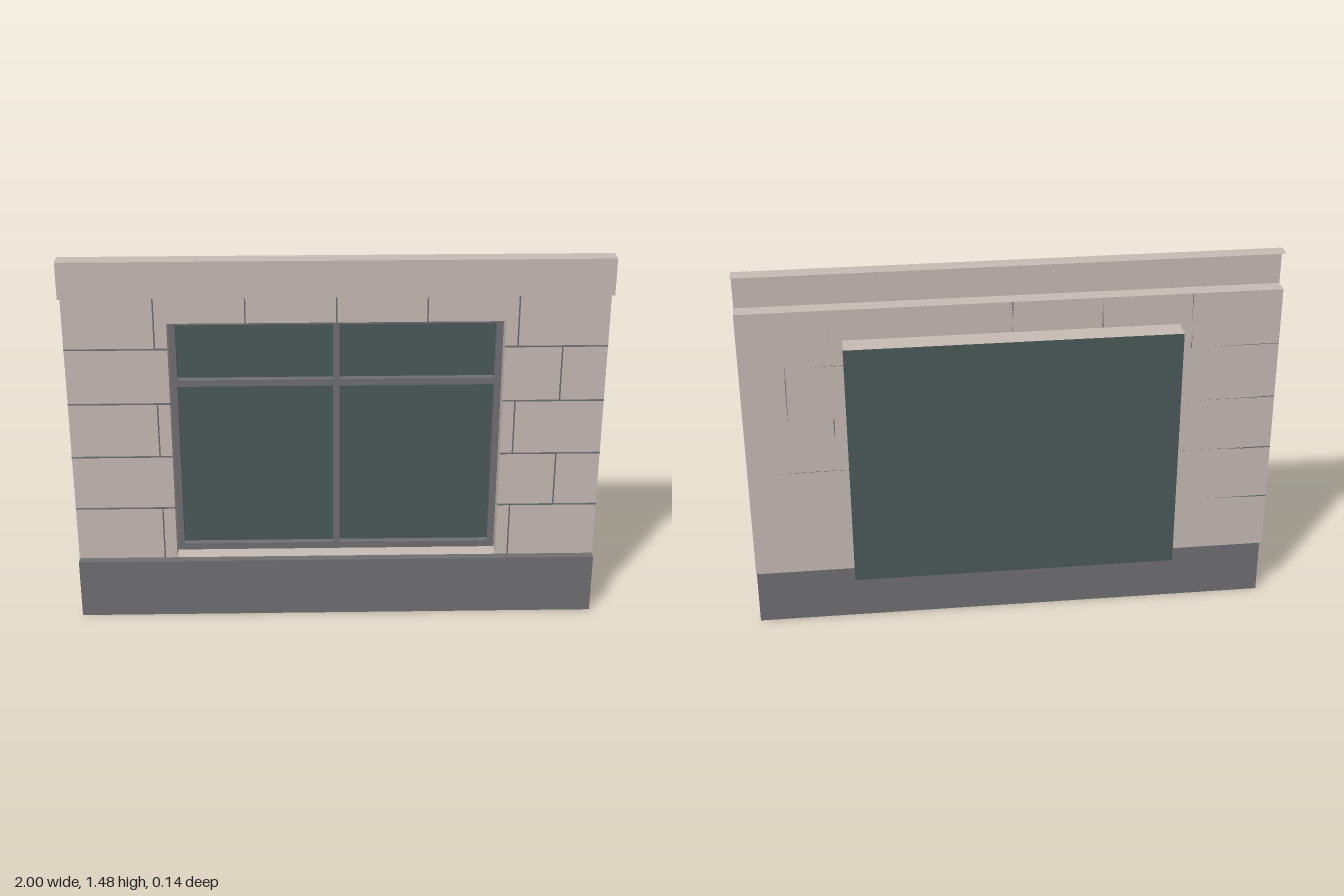
import * as THREE from 'three';

const WALL_Z = 0.013, BASE_Z = 0.045, FRONT_Z = 0.072, BACK_Z = -0.072;
const BASE_Y = 0.24, LINTEL_Y = 1.22, WALL_Y = 1.34, TOP_Y = 1.48;
const HALF = 0.62; // half width of the window opening

export function createModel() {
  const group = new THREE.Group();
  const material = (name, color) =>
    new THREE.MeshStandardMaterial({ name, color, side: THREE.DoubleSide });
  const stone = material('pale stone', 0xc8bcb6);
  const grey = material('dark grey', 0x707073);
  const glass = material('window glass', 0x4a5a59);

  const add = (name, geometry, mat) => {
    const mesh = new THREE.Mesh(geometry, mat);
    mesh.name = name;
    group.add(mesh);
    return mesh;
  };
  // Upright sheet facing +z
  const upright = (name, x0, x1, y0, y1, z, mat) =>
    add(name, new THREE.PlaneGeometry(x1 - x0, y1 - y0), mat)
      .position.set((x0 + x1) / 2, (y0 + y1) / 2, z);
  // Level sheet facing up (turn = -1) or down (turn = 1)
  const level = (name, half, y, z0, z1, mat, turn = -1) =>
    add(name, new THREE.PlaneGeometry(half * 2, z1 - z0).rotateX(turn * Math.PI / 2), mat)
      .position.set(0, y, (z0 + z1) / 2);
  const box = (name, x0, x1, y0, y1, z0, z1, mat) =>
    add(name, new THREE.BoxGeometry(x1 - x0, y1 - y0, z1 - z0), mat)
      .position.set((x0 + x1) / 2, (y0 + y1) / 2, (z0 + z1) / 2);

  // Wall sheet around the opening
  const outline = [[-1, BASE_Y], [-HALF, BASE_Y], [-HALF, LINTEL_Y], [HALF, LINTEL_Y],
    [HALF, BASE_Y], [1, BASE_Y], [1, WALL_Y], [-1, WALL_Y]];
  const wallShape = new THREE.Shape(outline.map(([x, y]) => new THREE.Vector2(x, y)));
  add('wall', new THREE.ShapeGeometry(wallShape), stone).position.z = WALL_Z;

  // Cornice channel, open at the back
  upright('corniceFront', -1, 1, WALL_Y, TOP_Y, FRONT_Z, stone);
  level('corniceTop', 1, TOP_Y, WALL_Z, FRONT_Z, stone);
  level('corniceUnderside', 1, WALL_Y, WALL_Z, FRONT_Z, stone, 1);

  // Plinth
  upright('plinthFront', -1, 1, 0, BASE_Y, BASE_Z, grey);
  level('plinthTop', 1, BASE_Y, WALL_Z, BASE_Z, grey);

  // Window reveal
  level('sill', HALF, BASE_Y, BACK_Z, WALL_Z, stone);
  level('lintel', HALF, LINTEL_Y, BACK_Z, WALL_Z, stone, 1);
  for (const side of [-1, 1]) {
    const jamb = new THREE.PlaneGeometry(WALL_Z - BACK_Z, LINTEL_Y - BASE_Y);
    add('jamb', jamb.rotateY(-side * Math.PI / 2), stone)
      .position.set(side * HALF, (BASE_Y + LINTEL_Y) / 2, (WALL_Z + BACK_Z) / 2);
  }

  // Glass and its frame
  upright('glass', -HALF, HALF, BASE_Y, LINTEL_Y, BACK_Z, glass);
  const z0 = BACK_Z + 0.001, z1 = -0.045, e = 0.001, inner = 0.594;
  box('frameLeft', inner, HALF - e, BASE_Y + e, LINTEL_Y - e, z0, z1, grey);
  box('frameRight', -HALF + e, -inner, BASE_Y + e, LINTEL_Y - e, z0, z1, grey);
  box('frameBottom', -inner, inner, BASE_Y + e, 0.267, z0, z1, grey);
  box('frameTop', -inner, inner, 1.19, LINTEL_Y - e, z0, z1, grey);
  box('mullion', -0.012, 0.012, 0.267, 1.19, z0, z1, grey);
  box('transomLeft', 0.012, inner, 0.942, 0.968, z0, z1, grey);
  box('transomRight', -inner, -0.012, 0.942, 0.968, z0, z1, grey);

  // Masonry joints
  const t = 0.0025, jz = WALL_Z + 0.004;
  for (const y of [0.46, 0.68, 0.9, 1.12]) {
    box('bedJoint', HALF, 1, y - t, y + t, WALL_Z, jz, grey);
    box('bedJoint', -1, -HALF, y - t, y + t, WALL_Z, jz, grey);
  }
  const joints = [[-0.667, 1.12, WALL_Y], [0.667, 1.12, WALL_Y], [-0.333, LINTEL_Y, WALL_Y],
    [0, LINTEL_Y, WALL_Y], [0.333, LINTEL_Y, WALL_Y], [0.833, 0.9, 1.12], [-0.667, 0.68, 0.9],
    [0.667, 0.68, 0.9], [0.833, 0.46, 0.68], [-0.667, BASE_Y, 0.46], [0.667, BASE_Y, 0.46]];
  for (const [x, y0, y1] of joints) box('headJoint', x - t, x + t, y0, y1, WALL_Z, jz, grey);

  return group;
}
